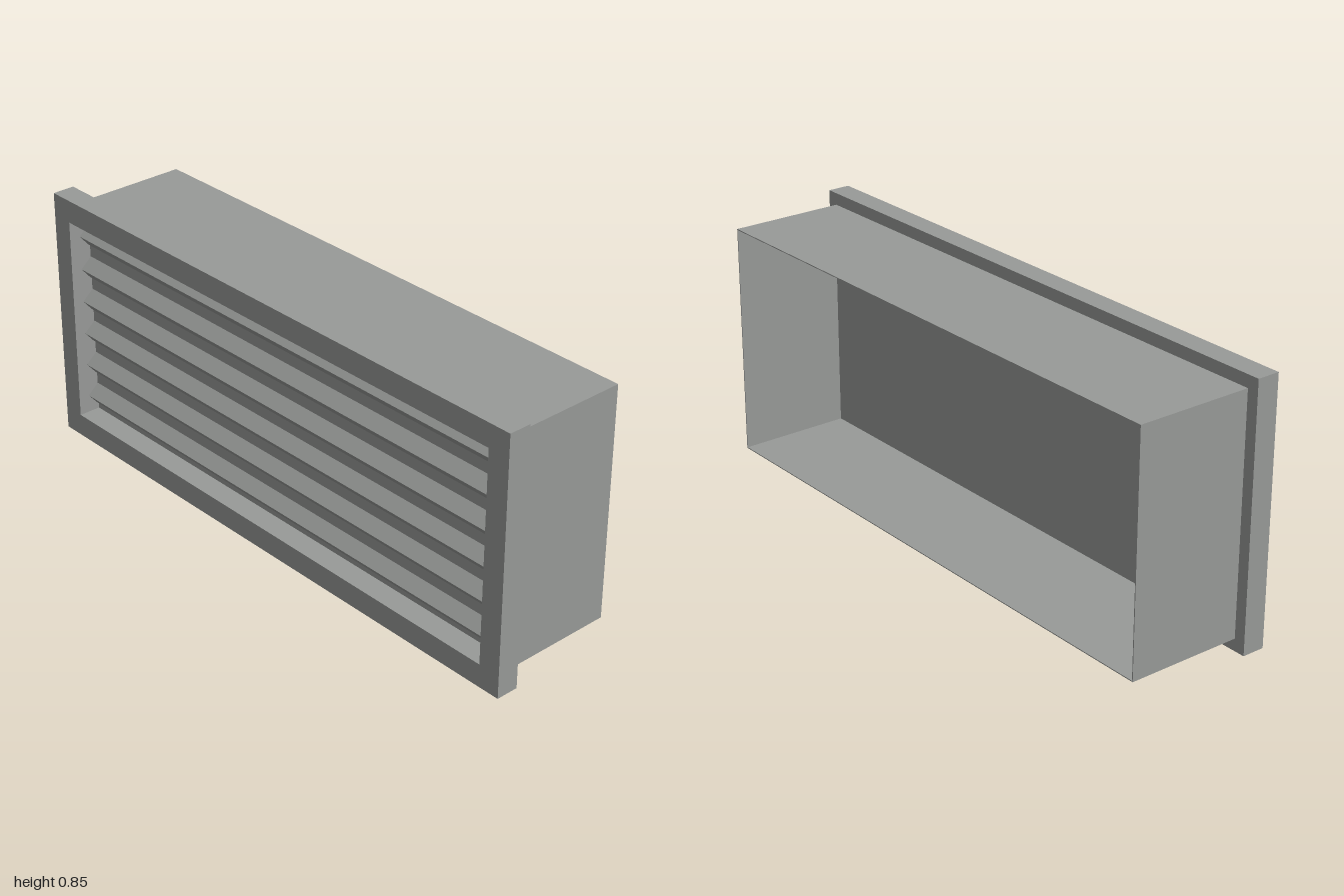
import * as THREE from 'three';

const metal = new THREE.MeshStandardMaterial({ color: 0x989a98 });
metal.name = 'grey metal';

// Rectangular ring given outer and inner half sizes, extruded from z0 to z1
function ring(w, h, iw, ih, z0, z1) {
  const shape = new THREE.Shape([
    new THREE.Vector2(-w, -h), new THREE.Vector2(w, -h),
    new THREE.Vector2(w, h), new THREE.Vector2(-w, h),
  ]);
  shape.holes.push(new THREE.Path([
    new THREE.Vector2(-iw, -ih), new THREE.Vector2(-iw, ih),
    new THREE.Vector2(iw, ih), new THREE.Vector2(iw, -ih),
  ]));
  const geometry = new THREE.ExtrudeGeometry(shape, { depth: z1 - z0, bevelEnabled: false });
  return geometry.translate(0, 0.425, z0);
}

export function createModel() {
  const group = new THREE.Group();
  group.name = 'louvreVent';
  const add = (name, geometry) => {
    const mesh = new THREE.Mesh(geometry, metal);
    mesh.name = name;
    group.add(mesh);
    return mesh;
  };

  // Front flange and the thin sheet duct behind it
  add('frontFrame', ring(1, 0.425, 0.925, 0.349, 0.155, 0.23));
  add('duct', ring(0.962, 0.385, 0.959, 0.382, -0.23, 0.155));

  // Panel closing the duct behind the slats
  add('backPanel', new THREE.BoxGeometry(1.92, 0.766, 0.006).translate(0, 0.425, 0.151));

  // Six wedge slats: sloping top, undercut below; profile in (z, y)
  const profile = new THREE.Shape([
    new THREE.Vector2(0.15, -0.037),
    new THREE.Vector2(0.162, -0.037),
    new THREE.Vector2(0.193, 0),
    new THREE.Vector2(0.15, 0.037),
  ]);
  const slat = new THREE.ExtrudeGeometry(profile, { depth: 1.85, bevelEnabled: false });
  slat.rotateY(-Math.PI / 2).translate(0.925, 0, 0);
  for (let i = 0; i < 6; i++) {
    add('slat', slat).position.y = 0.136 + i * 0.1155;
  }
  return group;
}
